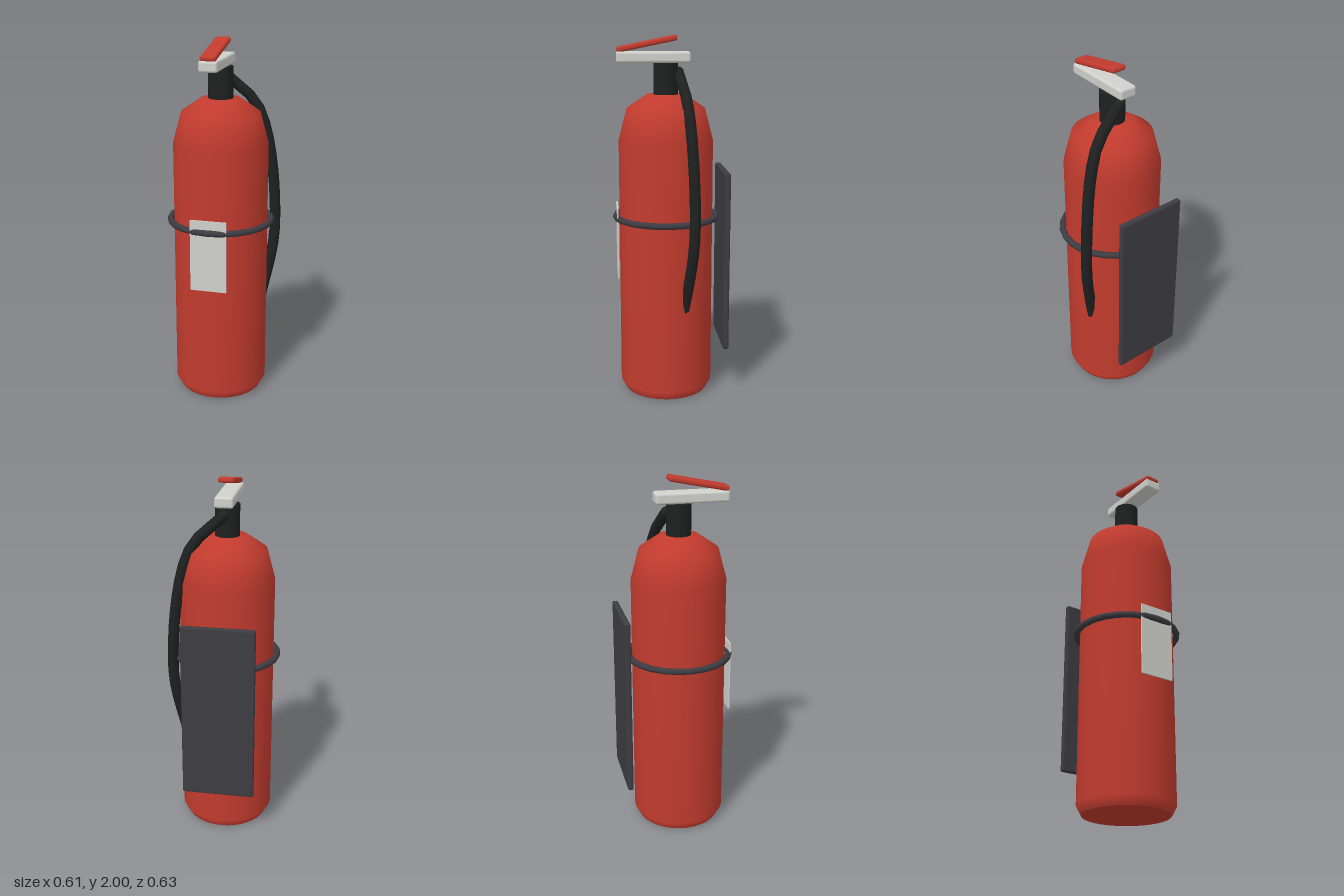
import * as THREE from 'three';
import { RoundedBoxGeometry } from 'three/addons/geometries/RoundedBoxGeometry.js';

const mat = (name, color, side = THREE.FrontSide) => {
  const m = new THREE.MeshStandardMaterial({ color, side });
  m.name = name;
  return m;
};

export function createModel() {
  const red = mat('red', 0xc23b2e);
  const black = mat('black', 0x1f2020, THREE.DoubleSide);
  const grey = mat('darkGrey', 0x3c3c42);
  const white = mat('offWhite', 0xd0d0cc);

  const group = new THREE.Group();
  group.name = 'fireExtinguisher';
  const cx = -0.008, cz = 0.017; // tank axis
  const add = (name, geometry, material, x, y, z) => {
    const mesh = new THREE.Mesh(geometry, material);
    mesh.name = name;
    mesh.position.set(x, y, z);
    group.add(mesh);
    return mesh;
  };

  // Tank: turned profile with a faceted shoulder
  const profile = [[0.233, 0], [0.26, 0.05], [0.26, 1.44], [0.215, 1.61], [0.107, 1.685], [0, 1.685]]
    .map(([r, y]) => new THREE.Vector2(r, y));
  add('tank', new THREE.LatheGeometry(profile, 32), red, cx, 0, cz);
  add('tankBase', new THREE.CircleGeometry(0.233, 32).rotateX(Math.PI / 2), red, cx, 0, cz);

  // Valve neck
  add('neck', new THREE.CylinderGeometry(0.067, 0.067, 0.19, 24), black, cx, 1.76, cz);

  // Carry handle and tilted squeeze lever
  add('carryHandle', new RoundedBoxGeometry(0.1, 0.06, 0.4, 3, 0.014), white, cx, 1.885, 0.085);
  const lever = add('lever', new RoundedBoxGeometry(0.084, 0.03, 0.33, 3, 0.012), red, cx, 1.956, 0.12);
  lever.rotation.x = 0.2;

  // Hose from the neck down the left side, ending against the tank
  const path = new THREE.CatmullRomCurve3([
    [0, 1.805, -0.05], [0.18, 1.62, -0.088], [0.275, 0.95, -0.115], [0.205, 0.5, -0.065],
  ].map((p) => new THREE.Vector3(...p)));
  add('hose', new THREE.TubeGeometry(path, 16, 0.03, 8), black, 0, 0, 0);
  add('hoseInlet', new THREE.SphereGeometry(0.03, 12, 8), black, 0, 1.805, -0.05);

  // Strap ring round the tank
  add('strap', new THREE.TorusGeometry(0.28, 0.018, 8, 24).rotateX(Math.PI / 2), grey, cx, 1.01, cz);

  // Front label and wall plate
  add('label', new THREE.BoxGeometry(0.2, 0.4, 0.008), white, cx, 0.876, 0.289);
  add('wallPlate', new RoundedBoxGeometry(0.4, 1, 0.032, 2, 0.009), grey, cx, 0.775, -0.303);

  return group;
}
